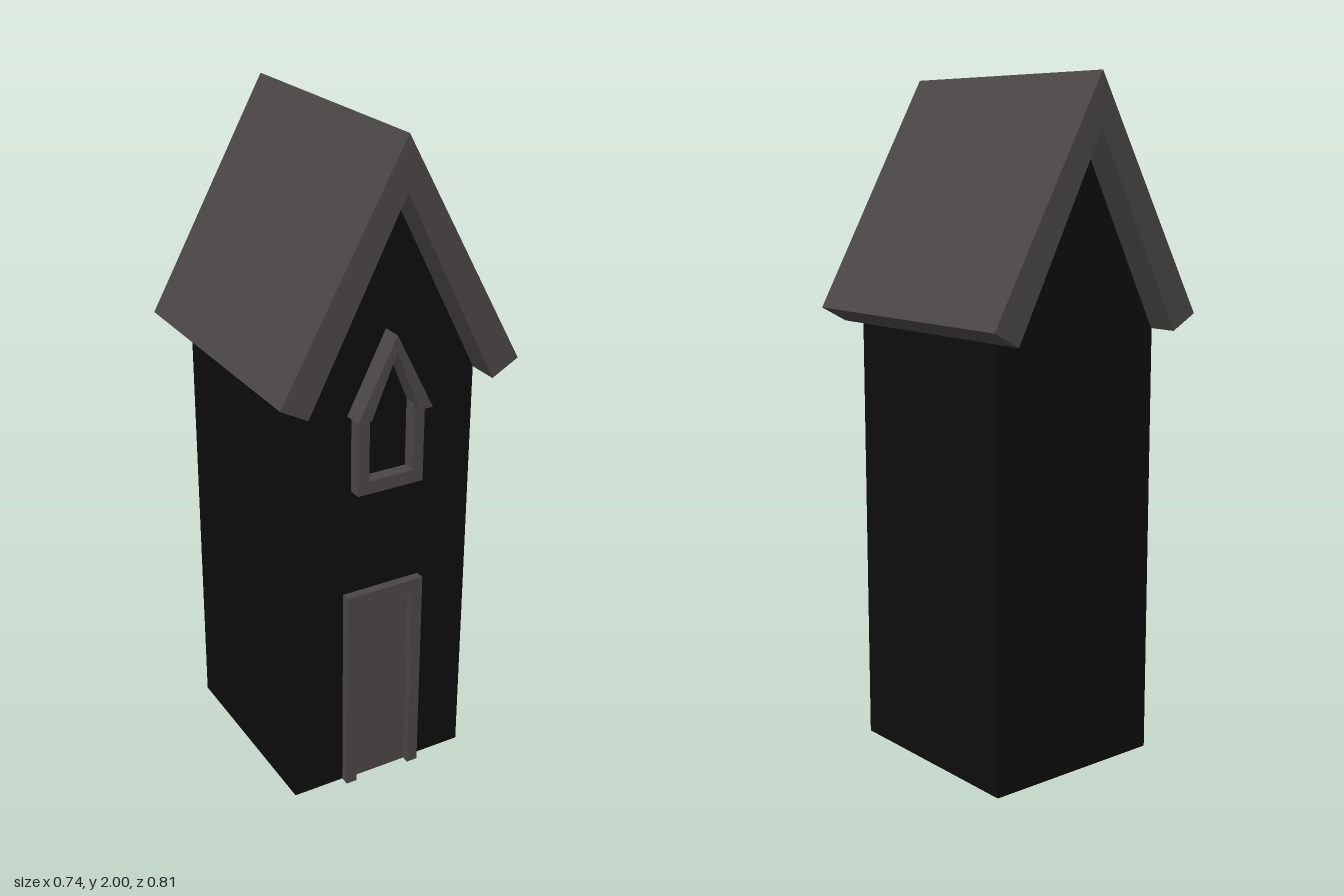
import * as THREE from 'three';

const dark = new THREE.MeshStandardMaterial({ color: 0x0d0d0d });
const trim = new THREE.MeshStandardMaterial({ color: 0x4b4646 });

// Extrude a front-facing outline from z0 to z1
function slab(name, points, z0, z1, material, hole) {
  const toVectors = (list) => list.map(([x, y]) => new THREE.Vector2(x, y));
  const shape = new THREE.Shape(toVectors(points));
  if (hole) shape.holes.push(new THREE.Path(toVectors(hole)));
  const geometry = new THREE.ExtrudeGeometry(shape, { depth: z1 - z0, bevelEnabled: false });
  geometry.translate(0, 0, z0);
  const mesh = new THREE.Mesh(geometry, material);
  mesh.name = name;
  return mesh;
}

export function createModel() {
  const model = new THREE.Group();
  model.name = 'tallHouse';
  const wall = 0.315;

  // Walls with gables, tucked just under the roof
  model.add(slab('walls',
    [[-0.29, 0], [0.287, 0], [0.287, 1.29], [0, 1.86], [-0.29, 1.29]], -wall, wall, dark));

  // Thick gabled roof overhanging front and back
  model.add(slab('roof',
    [[0, 2], [-0.37, 1.33], [-0.288, 1.285], [0, 1.85], [0.288, 1.285], [0.37, 1.33]],
    -0.405, 0.41, trim));

  // Door: a raised frame open at the bottom around a thin panel
  const door = new THREE.Group();
  door.name = 'door';
  door.add(slab('doorFrame',
    [[-0.128, 0], [-0.093, 0], [-0.093, 0.62], [0.088, 0.62], [0.088, 0],
      [0.123, 0], [0.123, 0.66], [-0.128, 0.66]], wall - 0.01, 0.343, trim));
  door.add(slab('doorPanel',
    [[-0.093, 0], [0.088, 0], [0.088, 0.62], [-0.093, 0.62]], wall - 0.01, 0.32, trim));
  model.add(door);

  // Pointed window: frame with opening, and a prouder peaked hood
  const gableWindow = new THREE.Group();
  gableWindow.name = 'window';
  gableWindow.add(slab('windowFrame',
    [[-0.105, 0.99], [0.105, 0.99], [0.105, 1.22], [0, 1.43], [-0.105, 1.22]],
    wall - 0.01, 0.355, trim,
    [[-0.07, 1.03], [-0.07, 1.235], [0, 1.405], [0.07, 1.235], [0.07, 1.03]]));
  gableWindow.add(slab('windowHood',
    [[0, 1.455], [-0.118, 1.222], [-0.076, 1.222], [0, 1.405], [0.076, 1.222], [0.118, 1.222]],
    wall - 0.01, 0.375, trim));
  model.add(gableWindow);

  return model;
}
